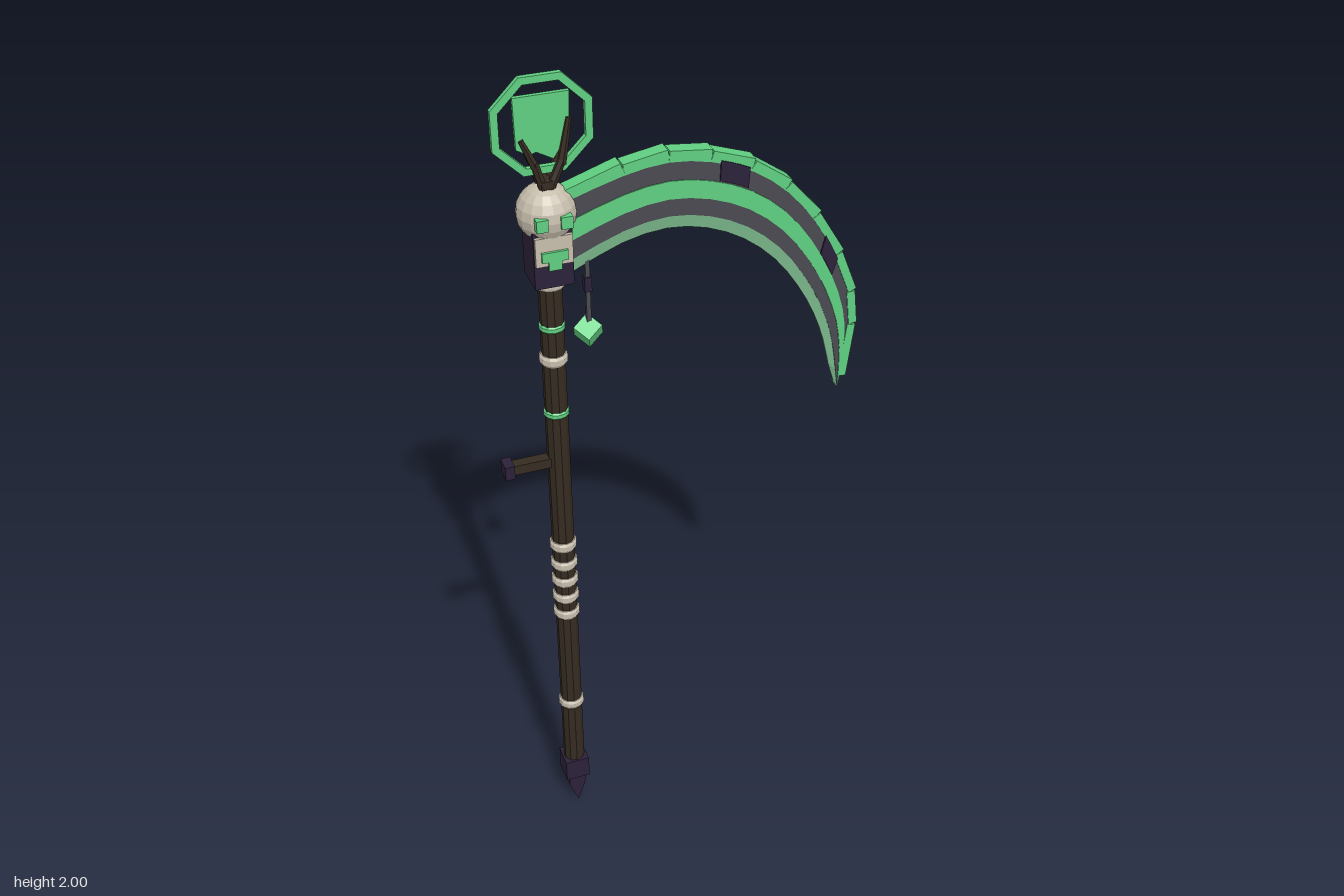
import * as THREE from 'three';

const mat = (name, color, flat = true) => {
  const m = new THREE.MeshStandardMaterial({ color });
  m.name = name;
  m.flatShading = flat;
  return m;
};

export function createModel() {
  const wood = mat('dark wood', 0x352b21);
  const bone = mat('bone', 0xc6bdac);
  const green = mat('glowing green', 0x5fcf80);
  const pale = mat('pale green edge', 0x86c898);
  const steel = mat('dark steel', 0x4a4952);
  const purple = mat('dark purple', 0x2b2139);

  const root = new THREE.Group();
  root.name = 'scythe';
  const staff = new THREE.Group(); // everything centred on the pole
  staff.name = 'staff';
  staff.position.x = -0.293;
  root.add(staff);

  const add = (parent, name, geo, material, x = 0, y = 0, z = 0) => {
    const m = new THREE.Mesh(geo, material);
    m.name = name;
    m.position.set(x, y, z);
    parent.add(m);
    return m;
  };
  const box = (name, w, h, d, material, x, y, z, parent = staff) =>
    add(parent, name, new THREE.BoxGeometry(w, h, d), material, x, y, z);
  const slab = (points, depth) => {
    const s = new THREE.Shape(points.map(p => new THREE.Vector2(...p)));
    return new THREE.ExtrudeGeometry(s, { depth, bevelEnabled: false }).translate(0, 0, -depth / 2);
  };
  // Tapered rod between two points
  const rod = (name, a, b, r0, r1, material) => {
    const va = new THREE.Vector3(...a), vb = new THREE.Vector3(...b), d = vb.clone().sub(va);
    const m = add(staff, name, new THREE.CylinderGeometry(r1, r0, d.length(), 6), material);
    m.position.copy(va).add(vb).multiplyScalar(0.5);
    m.quaternion.setFromUnitVectors(new THREE.Vector3(0, 1, 0), d.normalize());
  };

  // Pole and its bands
  add(staff, 'pole', new THREE.CylinderGeometry(0.026, 0.026, 1.42, 10), wood, 0, 0.85);
  const band = (name, y, h, r, material) => {
    const profile = [[0.02, -h / 2], [r - 0.004, -h / 2], [r, -h / 4], [r, h / 4], [r - 0.004, h / 2], [0.02, h / 2]];
    add(staff, name, new THREE.LatheGeometry(profile.map(p => new THREE.Vector2(...p)), 12), material, 0, y);
  };
  for (const y of [0.345, 0.64, 0.69, 0.74, 0.79, 0.845, 1.355]) band('boneBand', y, 0.025, 0.032, bone);
  band('boneCollar', 1.545, 0.025, 0.036, bone);
  for (const y of [1.215, 1.435]) band('greenBand', y, 0.018, 0.029, green);

  // Foot
  box('footCap', 0.06, 0.06, 0.06, purple, 0, 0.12, 0);
  add(staff, 'footSpike', slab([[-0.021, 0.095], [-0.021, 0.06], [0, 0], [0.021, 0.06], [0.021, 0.095]], 0.04), purple);

  // Side grip
  box('gripBar', 0.1, 0.024, 0.026, wood, -0.066, 1.085, 0);
  box('gripEnd', 0.022, 0.034, 0.04, purple, -0.118, 1.085, 0);

  // Socket and skull
  box('socket', 0.084, 0.13, 0.084, purple, 0, 1.615, 0);
  add(staff, 'skull', new THREE.SphereGeometry(0.063, 16, 10), bone, 0, 1.705);
  for (const s of [1, -1]) {
    box('jaw', 0.08, 0.065, 0.012, bone, 0, 1.638, s * 0.044);
    box('jawRuneWide', 0.056, 0.022, 0.008, green, 0, 1.628, s * 0.052);
    box('jawRuneLow', 0.028, 0.022, 0.008, green, 0, 1.608, s * 0.052);
    for (const e of [1, -1]) box('eye', 0.025, 0.027, 0.018, green, e * 0.026, 1.705, s * 0.056);
  }

  // Horns
  box('hornBase', 0.024, 0.03, 0.046, wood, 0, 1.765, 0);
  for (const z of [0.014, -0.014]) {
    rod('leftHorn', [0.005, 1.755, z], [0.036, 1.82, z * 0.8], 0.01, 0.009, wood);
    rod('leftHornTip', [0.034, 1.81, z * 0.8], [0.054, 1.905, z * 0.5], 0.01, 0.006, wood);
    rod('rightHorn', [-0.005, 1.755, z], [-0.022, 1.82, z * 0.8], 0.01, 0.009, wood);
    rod('rightHornTip', [-0.02, 1.81, z * 0.8], [-0.046, 1.87, z * 0.5], 0.01, 0.006, wood);
  }

  // Octagonal halo with its flame plate
  const octagon = r => Array.from({ length: 8 }, (_, i) => {
    const a = (i + 0.5) * Math.PI / 4;
    return new THREE.Vector2(r * Math.cos(a), r * Math.sin(a));
  });
  const halo = new THREE.Shape(octagon(0.113));
  halo.holes.push(new THREE.Path(octagon(0.096)));
  add(staff, 'halo', new THREE.ExtrudeGeometry(halo, { depth: 0.012, bevelEnabled: false }), green, 0, 1.896, -0.006);
  add(staff, 'flamePlate', slab([[-0.058, 1.96], [-0.056, 1.85], [-0.03, 1.835], [-0.015, 1.84],
    [0.02, 1.82], [0.034, 1.84], [0.054, 1.86], [0.058, 1.96]], 0.01), green);

  // Hanging charm
  box('charmCord', 0.01, 0.16, 0.01, steel, 0.082, 1.5, 0);
  box('charmBead', 0.016, 0.035, 0.016, purple, 0.082, 1.52, 0);
  const gem = box('charmGem', 0.044, 0.044, 0.044, green, 0.08, 1.405, 0);
  gem.rotation.set(0.5, 0.6, 0.25);

  // Blade: matching stations along the outer and inner edges
  const outer = [[-0.255, 1.745], [-0.132, 1.78], [-0.032, 1.793], [0.063, 1.778], [0.157, 1.741], [0.239, 1.679],
    [0.308, 1.595], [0.366, 1.49], [0.402, 1.386], [0.408, 1.3], [0.381, 1.132]];
  const inner = [[-0.245, 1.555], [-0.132, 1.603], [-0.032, 1.619], [0.058, 1.603], [0.143, 1.561], [0.217, 1.497],
    [0.275, 1.418], [0.317, 1.339], [0.344, 1.265], [0.36, 1.2], [0.381, 1.132]];
  const curve = pts => new THREE.CatmullRomCurve3(pts.map(p => new THREE.Vector3(p[0], p[1], 0)));
  const outerCurve = curve(outer), innerCurve = curve(inner);
  const blade = new THREE.Group();
  blade.name = 'blade';
  root.add(blade);

  // Band from fraction f0 to f1 of the blade's width, stations t0 to t1
  const bladeBand = (name, f0, f1, z0, z1, material, t0 = 0, t1 = 1, n = 20) => {
    const pos = [], idx = [];
    for (let i = 0; i <= n; i++) {
      const t = t0 + (t1 - t0) * i / n;
      const a = outerCurve.getPoint(t), b = innerCurve.getPoint(t);
      const p = a.clone().lerp(b, f0), q = a.clone().lerp(b, f1);
      pos.push(p.x, p.y, z0, q.x, q.y, z1, q.x, q.y, -z1, p.x, p.y, -z0);
      if (i === n) continue;
      for (let k = 0; k < 4; k++) {
        const c = i * 4 + k, d = i * 4 + (k + 1) % 4;
        idx.push(c, d, c + 4, d, d + 4, c + 4);
      }
    }
    const e = n * 4;
    idx.push(0, 2, 1, 0, 3, 2, e, e + 1, e + 2, e, e + 2, e + 3);
    const g = new THREE.BufferGeometry();
    g.setAttribute('position', new THREE.Float32BufferAttribute(pos, 3));
    g.setIndex(idx);
    g.computeVertexNormals();
    add(blade, name, g, material);
  };
  bladeBand('bladeBack', 0, 0.1, 0.016, 0.016, green);
  bladeBand('upperSteel', 0.1, 0.34, 0.015, 0.015, steel);
  bladeBand('greenInlay', 0.34, 0.58, 0.017, 0.017, green);
  bladeBand('lowerSteel', 0.58, 0.81, 0.015, 0.015, steel);
  bladeBand('cuttingEdge', 0.81, 1, 0.014, 0.003, pale);
  bladeBand('darkInset', 0.06, 0.32, 0.019, 0.019, purple, 0.32, 0.39, 3);
  bladeBand('darkInset', 0.08, 0.34, 0.019, 0.019, purple, 0.64, 0.7, 3);

  // Overlapping plates along the back of the blade
  for (let i = 0; i < outer.length - 1; i++) {
    const [ax, ay] = outer[i], [bx, by] = outer[i + 1];
    const len = Math.hypot(bx - ax, by - ay), last = i === outer.length - 2;
    const plate = box('backPlate', len * (last ? 0.8 : 0.98), 0.02, 0.034, green,
      (ax + bx) / 2 - (last ? -0.004 : 0), (ay + by) / 2 + (last ? 0.014 : 0), 0, blade);
    plate.rotation.z = Math.atan2(by - ay, bx - ax) + 0.04;
  }
  return root;
}
